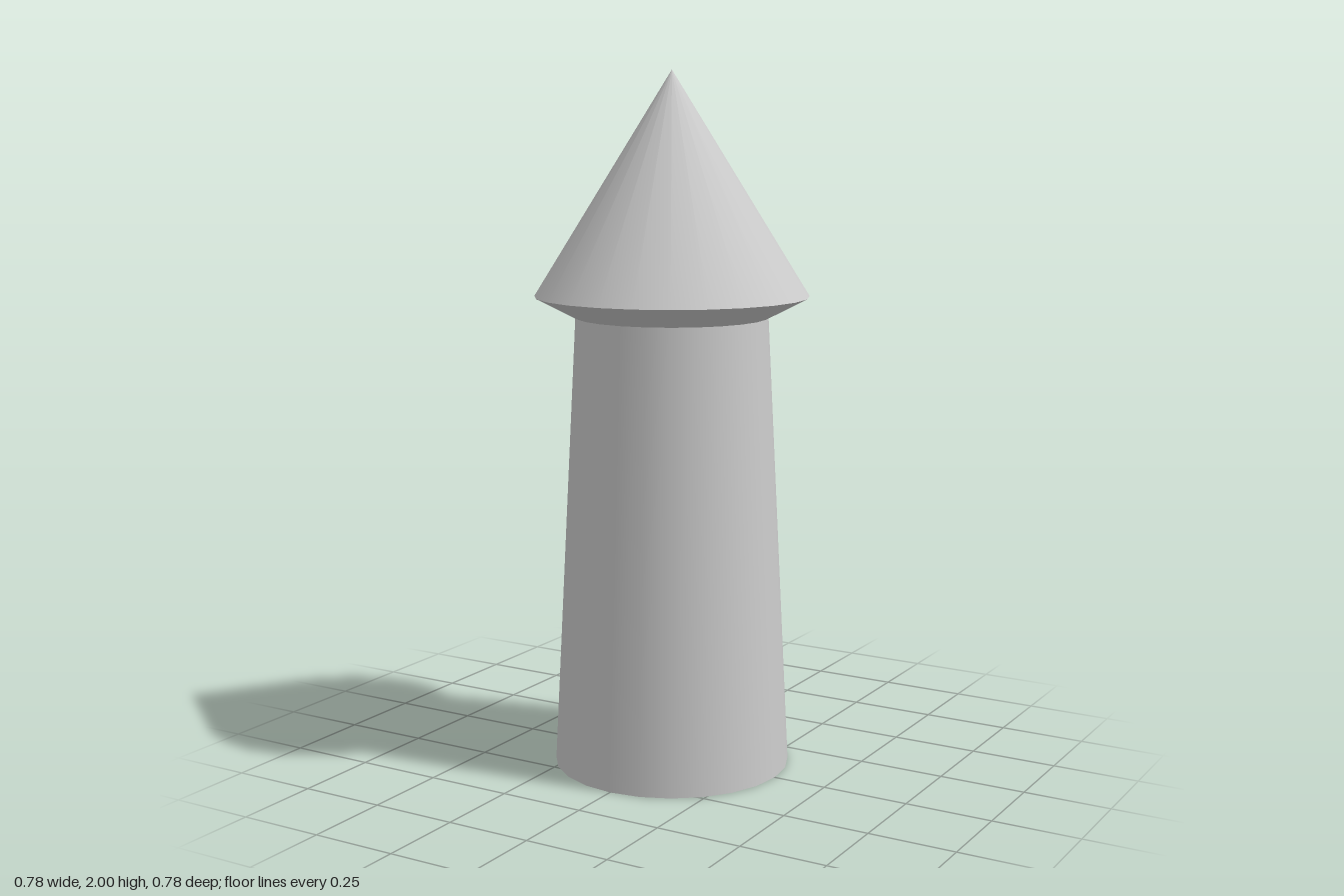
import * as THREE from 'three';

const SIDES = 24;

export function createModel() {
  const group = new THREE.Group();
  const material = new THREE.MeshStandardMaterial({ color: 0xcccccc });

  // Round section between two heights, smooth around and sharp at its rims
  function addSection(name, rTop, rBottom, y0, y1, open) {
    const geometry = new THREE.CylinderGeometry(rTop, rBottom, y1 - y0, SIDES, 1, open);
    const mesh = new THREE.Mesh(geometry, material);
    mesh.name = name;
    mesh.position.y = (y0 + y1) / 2;
    group.add(mesh);
  }

  // Tapered tower body, closed at the foot
  addSection('towerBody', 0.275, 0.342, 0, 1.308, false);
  // Flared underside of the eaves
  addSection('eaves', 0.391, 0.275, 1.308, 1.368, true);
  // Pointed roof
  addSection('roof', 0, 0.391, 1.368, 2, true);

  return group;
}
